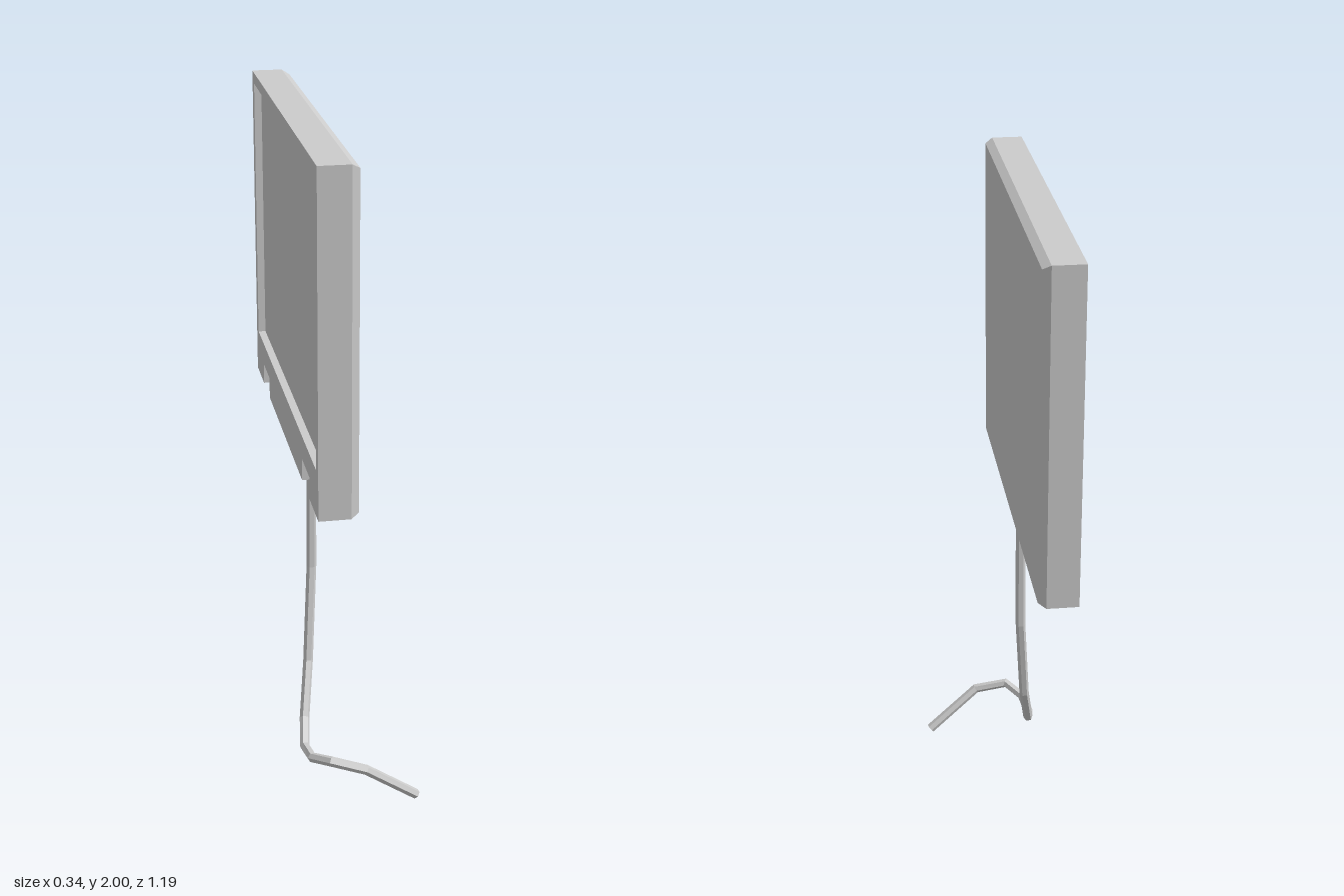
import * as THREE from 'three';

const material = new THREE.MeshStandardMaterial({ color: 0xcccccc, flatShading: true });

const BOTTOM = 1.035, TOP = 2, HALF = 0.595; // panel extents in y and z
const BACK = -0.165, SCREEN = -0.143, NOTCH = -0.085, RIM = -0.075, FRONT = -0.053;

function part(name, geometry) {
  const mesh = new THREE.Mesh(geometry, material);
  mesh.name = name;
  return mesh;
}

// Panel outline in (z, y), with two notches in the lower edge
function notchedOutline() {
  const s = new THREE.Shape();
  s.moveTo(-HALF, BOTTOM);
  for (const [a, b] of [[-0.45, -0.32], [0.32, 0.45]]) {
    s.lineTo(a, BOTTOM);
    s.lineTo(a, BOTTOM + 0.065);
    s.lineTo(b, BOTTOM + 0.065);
    s.lineTo(b, BOTTOM);
  }
  s.lineTo(HALF, BOTTOM);
  s.lineTo(HALF, TOP);
  s.lineTo(-HALF, TOP);
  s.closePath();
  return s;
}

// Extrude a (z, y) shape between two x positions
function slab(shape, xMin, xMax) {
  return new THREE.ExtrudeGeometry(shape, { depth: xMax - xMin, bevelEnabled: false })
    .rotateY(-Math.PI / 2)
    .translate(xMax, 0, 0);
}

// Cover: a box whose outer face is drawn in to make a chamfer
function chamferedCover() {
  const g = new THREE.BoxGeometry(2, TOP - BOTTOM, 2 * HALF, 2, 1, 1);
  const p = g.attributes.position, inset = 0.013;
  for (let i = 0; i < p.count; i++) {
    const x = p.getX(i);
    if (x > 0.5) {
      p.setY(i, p.getY(i) - Math.sign(p.getY(i)) * inset);
      p.setZ(i, p.getZ(i) - Math.sign(p.getZ(i)) * inset);
    }
    p.setX(i, x > 0.5 ? FRONT : x < -0.5 ? NOTCH : RIM);
  }
  g.translate(0, (TOP + BOTTOM) / 2, 0);
  g.computeVertexNormals();
  return g;
}

// Curve through straight pieces, with one tube ring at each point
class Polyline extends THREE.Curve {
  constructor(points) {
    super();
    this.points = points;
  }
  getPoint(t, target = new THREE.Vector3()) {
    const n = this.points.length - 1;
    const i = Math.min(Math.floor(t * n + 1e-6), n - 1);
    return target.lerpVectors(this.points[i], this.points[i + 1], t * n - i);
  }
  getPointAt(t, target) {
    return this.getPoint(t, target);
  }
  getTangentAt(t, target = new THREE.Vector3()) {
    const n = this.points.length - 1, i = Math.round(t * n);
    const dir = (k) => this.points[k + 1].clone().sub(this.points[k]).normalize();
    return target.copy(dir(Math.max(i - 1, 0))).add(dir(Math.min(i, n - 1))).normalize();
  }
}

export function createModel() {
  const model = new THREE.Group();
  model.name = 'flatPanelWithCable';

  // Panel
  const panel = new THREE.Group();
  panel.name = 'panel';
  const bezel = notchedOutline();
  const opening = new THREE.Path();
  opening.moveTo(-0.56, 1.17);
  opening.lineTo(-0.56, 1.967);
  opening.lineTo(0.56, 1.967);
  opening.lineTo(0.56, 1.17);
  opening.closePath();
  bezel.holes.push(opening);
  panel.add(
    part('screenBezel', slab(bezel, BACK, SCREEN)),
    part('screenAndCasing', slab(notchedOutline(), SCREEN, NOTCH)),
    part('chamferedCover', chamferedCover())
  );
  model.add(panel);

  // Hanging cable
  const points = [
    [-0.09, 1.06, 0.02], [-0.095, 0.62, 0.038], [-0.117, 0.33, 0.098],
    [-0.143, 0.18, 0.185], [-0.158, 0.14, 0.28], [-0.148, 0.149, 0.36],
    [-0.1, 0.167, 0.42], [0, 0.14, 0.44], [0.16, 0.014, 0.405],
  ].map((p) => new THREE.Vector3(...p));
  const radius = 0.015, sides = 6;
  const path = new Polyline(points);
  model.add(part('cable', new THREE.TubeGeometry(path, points.length - 1, radius, sides)));

  // Cap on the loose end
  const cap = part('cableEnd', new THREE.CircleGeometry(radius, sides));
  cap.position.copy(points.at(-1));
  cap.quaternion.setFromUnitVectors(new THREE.Vector3(0, 0, 1), path.getTangentAt(1));
  model.add(cap);

  return model;
}
